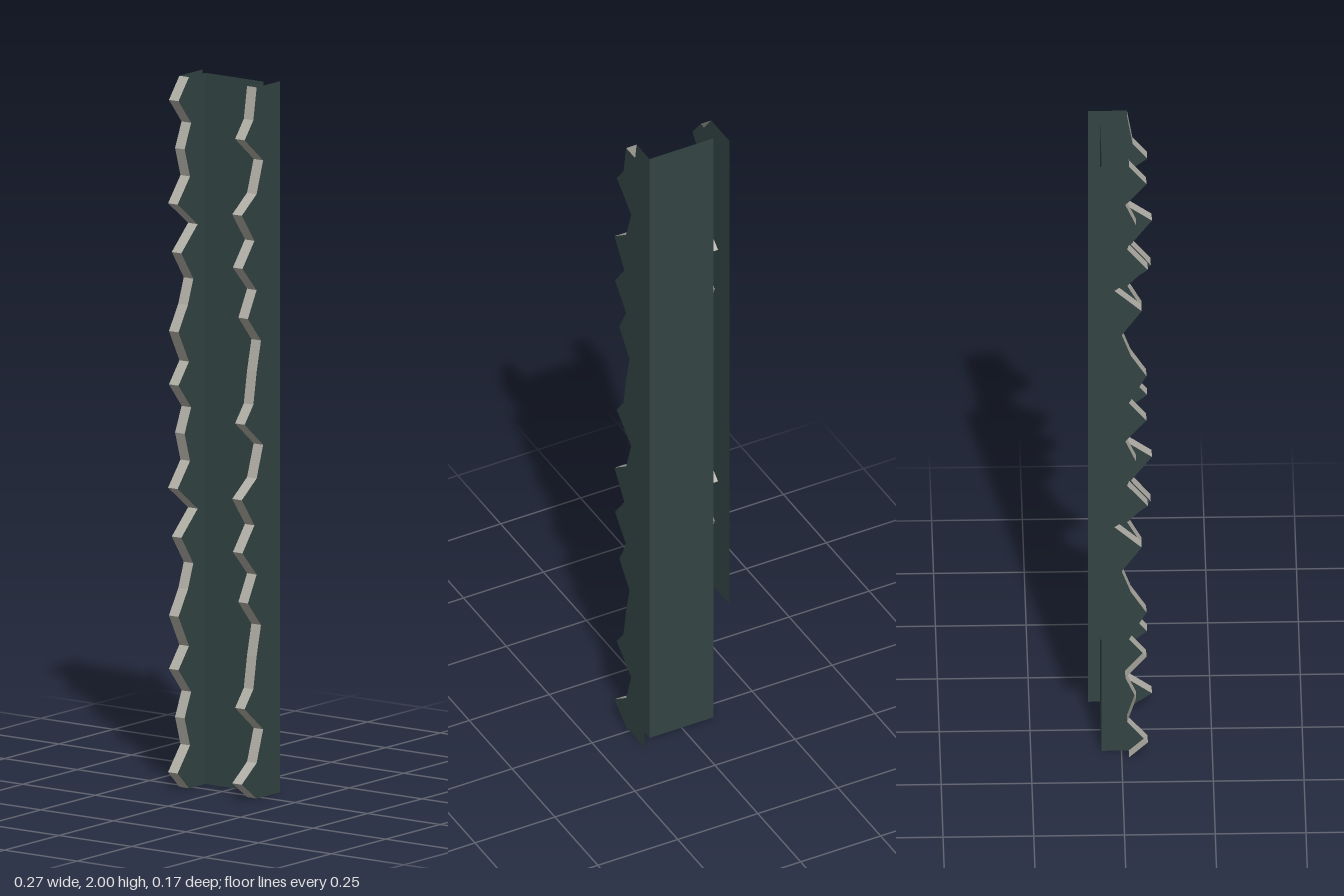
import * as THREE from 'three';

const PERIOD = 0.8, OUTER = 0.133, INNER = 0.1, BACK = -0.087, PLATE = -0.055;

// One period of each broken edge as [height, z], from the top downwards
const leftTeeth = [[2, 0.02], [1.91, 0.035], [1.86, 0.075], [1.79, -0.01], [1.7, 0.02], [1.65, 0.088],
  [1.57, 0.03], [1.5, 0.085], [1.43, 0.02], [1.355, 0.06], [1.285, 0]];
const rightTeeth = [[2, 0.02], [1.94, 0.068], [1.87, 0.01], [1.8, 0.04], [1.72, 0.015], [1.65, 0.072],
  [1.58, -0.02], [1.51, 0.055], [1.43, 0], [1.36, 0.025], [1.29, 0.068]];

// Repeat the teeth down the full height
function jaggedEdge(teeth) {
  const pts = [];
  for (let i = 0; i < 3; i++) {
    for (const [y, z] of teeth) {
      const h = y - i * PERIOD;
      if (h > 0.01) pts.push([h, z]);
    }
  }
  pts.push([0, 0.02]);
  return pts;
}

export function createModel() {
  const group = new THREE.Group();
  const darkMetal = new THREE.MeshStandardMaterial({ color: 0x334444, side: THREE.DoubleSide });
  darkMetal.name = 'darkMetal';
  const brokenEdge = new THREE.MeshStandardMaterial({ color: 0xb0aea5, side: THREE.DoubleSide });
  brokenEdge.name = 'brokenEdge';

  const add = (name, geometry, material) => {
    const mesh = new THREE.Mesh(geometry, material);
    mesh.name = name;
    group.add(mesh);
    return mesh;
  };

  // Side wall skin in the plane of constant x
  function wall(name, edge, x, back, bottom = 0) {
    const pts = edge.filter(([y]) => y >= bottom - 0.001);
    const shape = new THREE.Shape([
      new THREE.Vector2(back, bottom),
      ...pts.slice().reverse().map(([y, z]) => new THREE.Vector2(z, y)),
      new THREE.Vector2(back, 2),
    ]);
    const g = new THREE.ShapeGeometry(shape).rotateY(-Math.PI / 2);
    // Turn the faces of the +x outer skin and the -x inner skin towards +x
    if ((x > 0) === (Math.abs(x) === OUTER)) {
      const idx = g.index.array;
      for (let i = 0; i < idx.length; i += 3) [idx[i], idx[i + 1]] = [idx[i + 1], idx[i]];
      g.computeVertexNormals();
    }
    add(name, g, darkMetal).position.x = x;
  }

  // Pale band joining the inner and outer skins along the broken edge
  function band(name, edge, side) {
    const w = OUTER - INNER;
    let g = new THREE.PlaneGeometry(w, 2, 1, edge.length - 1);
    const p = g.attributes.position;
    edge.forEach(([y, z], i) => {
      for (let k = 0; k < 2; k++) p.setXYZ(i * 2 + k, p.getX(i * 2 + k), y, z);
    });
    g = g.toNonIndexed();
    g.computeVertexNormals();
    add(name, g, brokenEdge).position.x = side * (INNER + w / 2);
  }

  // Back plate between the inner skins
  add('backPlate', new THREE.PlaneGeometry(INNER * 2, 2), darkMetal).position.set(0, 1, PLATE);

  for (const [side, label, teeth, bottom] of [[1, 'left', leftTeeth, 0], [-1, 'right', rightTeeth, 0.4]]) {
    const edge = jaggedEdge(teeth);
    wall(label + 'OuterWall', edge, side * OUTER, BACK, bottom);
    wall(label + 'InnerWall', edge, side * INNER, PLATE);
    band(label + 'BrokenEdge', edge, side);
  }
  return group;
}
